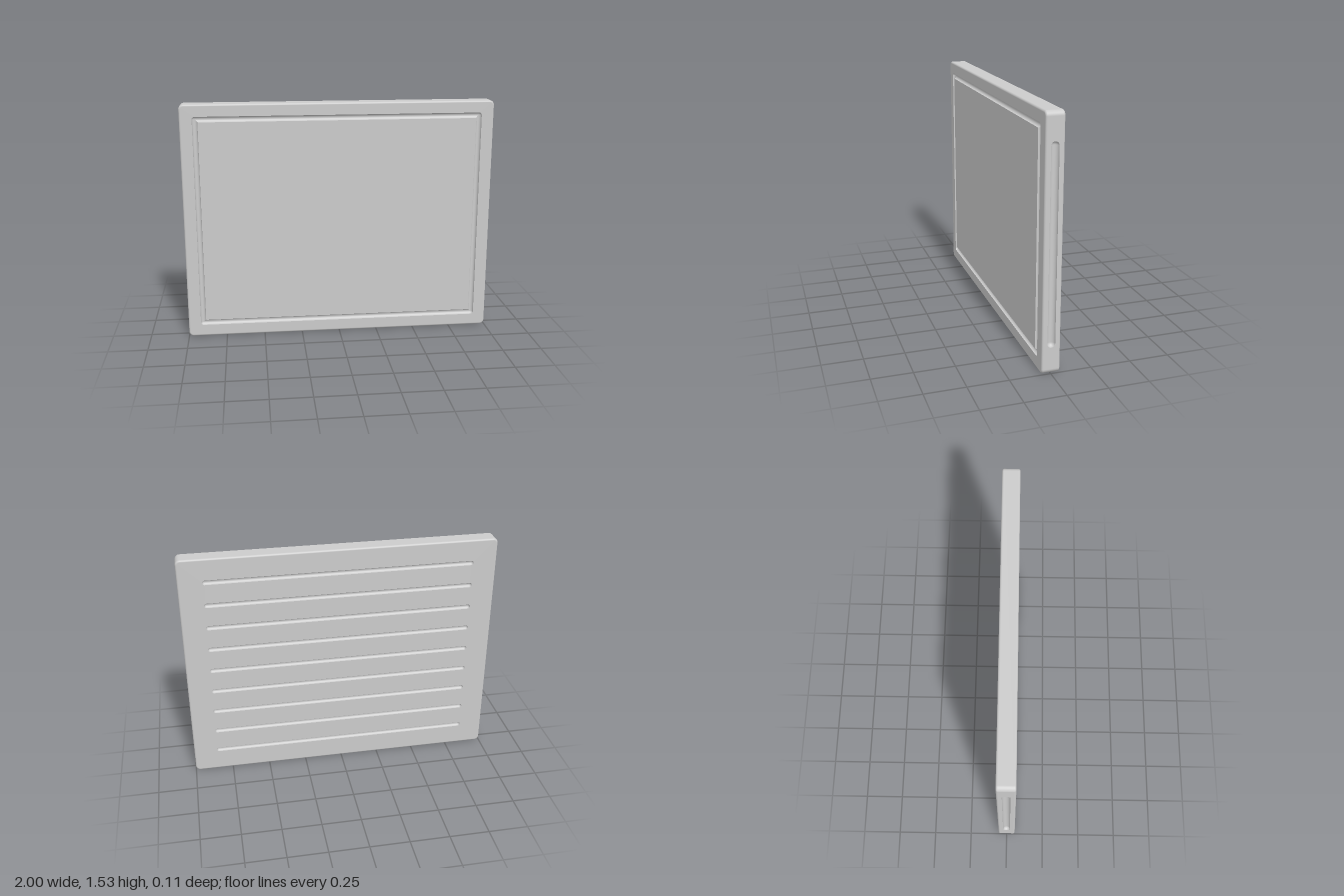
import * as THREE from 'three';

const W = 1, H = 0.767, T = 0.056;        // half width, half height, half thickness
const R = 0.03, B = 0.012, N = 8;         // corner radius, edge fillet, steps per quarter turn
const GX = 0.903, GY = 0.673, GR = 0.0175; // juice groove centreline and radius
const material = new THREE.MeshStandardMaterial({ color: 0xcccccc });

// Counter-clockwise stations round a rectangle: corner centre plus outward direction
function stations(hx, hy) {
  const list = [];
  for (let k = 0; k < 4; k++) {
    const sx = k === 0 || k === 3 ? 1 : -1, sy = k < 2 ? 1 : -1;
    for (let j = 0; j <= N; j++) {
      const a = (k + j / N) * Math.PI / 2;
      list.push({ cx: sx * hx, cy: sy * hy, sx, sy, dx: Math.cos(a), dy: Math.sin(a) });
    }
  }
  return list;
}

// Rounded rectangle outline (a slot when one half size is zero)
function outline(hx, hy, r, ox = 0, oy = 0) {
  const pts = stations(hx, hy).map(s => new THREE.Vector2(ox + s.cx + r * s.dx, oy + s.cy + r * s.dy));
  return pts.filter((p, i) => p.distanceTo(pts[(i + 1) % pts.length]) > 1e-6);
}

// Sweeps a profile of { d, z, nd, nz } round the stations; inner offsets are mitred
function sweep(loop, profile, skip = () => false) {
  const pos = [], nor = [], index = [], m = profile.length;
  for (const s of loop) {
    for (const p of profile) {
      const ux = p.d < 0 ? s.sx : s.dx, uy = p.d < 0 ? s.sy : s.dy;
      pos.push(s.cx + p.d * ux, s.cy + p.d * uy, p.z);
      nor.push(p.nd * s.dx, p.nd * s.dy, p.nz);
    }
  }
  loop.forEach((_, i) => {
    const i2 = (i + 1) % loop.length;
    for (let j = 0; j < m - 1; j++) {
      if (skip(i, j)) continue;
      const a = i * m + j, b = i2 * m + j;
      index.push(a, a + 1, b, b, a + 1, b + 1);
    }
  });
  const g = new THREE.BufferGeometry();
  g.setAttribute('position', new THREE.Float32BufferAttribute(pos, 3));
  g.setAttribute('normal', new THREE.Float32BufferAttribute(nor, 3));
  g.setIndex(index);
  return g;
}

// Flat face with cut-outs
function panel(points, holes) {
  const shape = new THREE.Shape(points);
  holes.forEach(h => shape.holes.push(new THREE.Path(h)));
  return new THREE.ShapeGeometry(shape);
}

// Half-capsule hollow along y, open towards +z
function trough(half, r) {
  const pts = [];
  for (const s of [1, -1]) {
    for (let j = 0; j <= N; j++) {
      const a = (s > 0 ? N - j : -j) / N * Math.PI / 2;
      pts.push(new THREE.Vector2(r * Math.cos(a), s * half + r * Math.sin(a)));
    }
  }
  return new THREE.LatheGeometry(pts, 2 * N, Math.PI / 2, Math.PI);
}

export function createModel() {
  const board = new THREE.Group();
  board.name = 'cuttingBoard';
  board.position.y = H;
  const add = (name, geometry, parent = board) => {
    const mesh = new THREE.Mesh(geometry, material);
    mesh.name = name;
    parent.add(mesh);
    return mesh;
  };

  // Rounded rim, leaving the two flat ends open for the finger slots
  const rim = [];
  for (const s of [1, -1]) {
    for (let j = 0; j <= N; j++) {
      const a = (s > 0 ? N - j : -j) / N * Math.PI / 2;
      rim.push({ d: R - B + B * Math.cos(a), z: s * (T - B) + B * Math.sin(a), nd: Math.cos(a), nz: Math.sin(a) });
    }
  }
  const leftEdge = 2 * (N + 1) - 1, rightEdge = 4 * (N + 1) - 1;
  add('rim', sweep(stations(W - R, H - R), rim, (i, j) => j === N && (i === leftEdge || i === rightEdge)));

  // Front: border, juice groove and cutting surface
  const face = outline(W - R, H - R, R - B);
  add('frontBorder', panel(face, [outline(GX, GY, GR)])).position.z = T;
  const groove = [];
  for (let j = 0; j <= 2 * N; j++) {
    const a = Math.PI * (1 - j / (2 * N)), c = Math.cos(a), s = Math.sin(a);
    groove.push({ d: GR * c, z: T - GR * s, nd: -c, nz: s });
  }
  add('juiceGroove', sweep(stations(GX, GY), groove));
  add('cuttingSurface', new THREE.PlaneGeometry(2 * (GX - GR), 2 * (GY - GR))).position.z = T;

  // Back: nine parallel grooves
  const back = new THREE.Group();
  back.name = 'back';
  back.rotation.y = Math.PI;
  back.position.z = -T;
  board.add(back);
  const r = 0.015, half = 0.85 - r, holes = [];
  for (let k = -4; k <= 4; k++) {
    const y = k * 2 * H / 10;
    holes.push(outline(half, 0, r, 0, y));
    add('backGroove', trough(half, r).rotateZ(Math.PI / 2), back).position.y = y;
  }
  add('backFace', panel(face, holes), back);

  // Ends with finger slots
  const slotR = 0.024, slotHalf = 0.602 - slotR;
  const end = [[-1, -1], [1, -1], [1, 1], [-1, 1]].map(([x, y]) => new THREE.Vector2(x * (T - B), y * (H - R)));
  for (const [name, s] of [['left', 1], ['right', -1]]) {
    const side = new THREE.Group();
    side.name = name + 'End';
    side.rotation.y = s * Math.PI / 2;
    side.position.x = s * W;
    board.add(side);
    add(name + 'EndFace', panel(end, [outline(0, slotHalf, slotR)]), side);
    add(name + 'FingerSlot', trough(slotHalf, slotR), side);
  }

  const model = new THREE.Group();
  model.add(board);
  return model;
}
